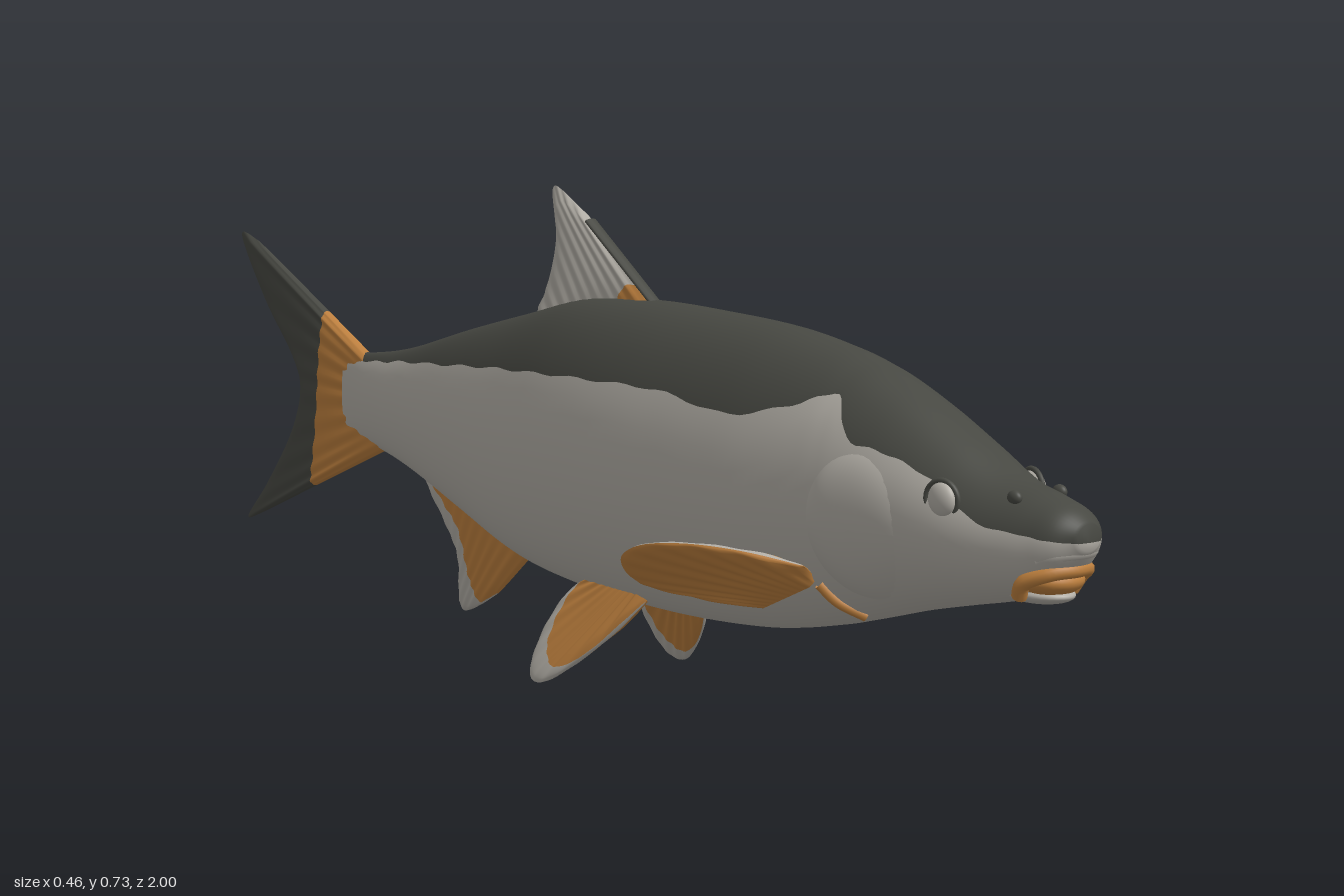
import * as THREE from 'three';

const mat = (name, color) => new THREE.MeshStandardMaterial({ name, color, side: THREE.DoubleSide });
const { clamp, lerp } = THREE.MathUtils;

// Body stations from nose to tail: z, top y, bottom y, half width, y of the dark back's lower edge
const STATIONS = [
  [0.998, 0.355, 0.318, 0.022, 0.33], [0.97, 0.374, 0.285, 0.05, 0.333],
  [0.93, 0.387, 0.25, 0.065, 0.338], [0.86, 0.405, 0.232, 0.082, 0.348],
  [0.78, 0.445, 0.215, 0.098, 0.395], [0.70, 0.485, 0.197, 0.108, 0.422],
  [0.63, 0.515, 0.178, 0.115, 0.436], [0.585, 0.53, 0.166, 0.119, 0.49],
  [0.52, 0.546, 0.15, 0.124, 0.472], [0.40, 0.564, 0.128, 0.134, 0.448],
  [0.25, 0.572, 0.118, 0.139, 0.465], [0.10, 0.575, 0.118, 0.137, 0.465],
  [-0.05, 0.566, 0.127, 0.124, 0.46], [-0.20, 0.53, 0.15, 0.102, 0.452],
  [-0.35, 0.492, 0.2, 0.076, 0.44], [-0.50, 0.45, 0.25, 0.045, 0.428],
  [-0.60, 0.432, 0.275, 0.028, 0.418], [-0.69, 0.425, 0.29, 0.014, 0.415],
];
const heights = new THREE.CatmullRomCurve3(
  STATIONS.map(([z, a, b]) => new THREE.Vector3(z, a, b)), false, 'catmullrom');
const widths = new THREE.CatmullRomCurve3(
  STATIONS.map(([z, , , w, e]) => new THREE.Vector3(z, w, e)), false, 'catmullrom');

function section(t) {
  const p = heights.getPoint(t), q = widths.getPoint(t);
  return { z: p.x, c: (p.y + p.z) / 2, h: (p.y - p.z) / 2, w: q.y, edge: q.z };
}

// Half width of the body's skin at a given z and y
function skinX(z, y) {
  let lo = 0, hi = 1;
  for (let i = 0; i < 24; i++) {
    const mid = (lo + hi) / 2;
    if (heights.getPoint(mid).x > z) lo = mid; else hi = mid;
  }
  const s = section(lo);
  return s.w * Math.sqrt(Math.max(0, 1 - ((y - s.c) / s.h) ** 2));
}

function geometryFrom(pos, index) {
  const g = new THREE.BufferGeometry();
  g.setAttribute('position', new THREE.Float32BufferAttribute(pos, 3));
  g.setIndex(index);
  g.computeVertexNormals();
  return g;
}

// Lofted body; every ring is split at the dark back's edge so the colours meet cleanly
function bodyGeometry() {
  const rings = 110, top = 20, all = 52, pos = [], index = [];
  for (let i = 0; i <= rings; i++) {
    const { z, c, h, w, edge } = section(i / rings);
    const wave = edge + 0.002 * Math.sin(i * 1.3) * Math.min(1, i / 40);
    const a = Math.acos(clamp((wave - c) / h, -0.95, 0.97));
    for (let j = 0; j < all; j++) {
      const t = j <= top ? -a + 2 * a * j / top
        : a + (2 * Math.PI - 2 * a) * (j - top) / (all - top);
      pos.push(w * Math.sin(t), c + h * Math.cos(t), z);
    }
  }
  const nose = pos.length / 3, last = rings * all;
  const s0 = section(0), s1 = section(1);
  pos.push(0, s0.edge, 1, 0, s1.c, s1.z - 0.003);
  const strip = (from, to) => {
    for (let j = from; j < to; j++) {
      const k = (j + 1) % all;
      index.push(nose, k, j, nose + 1, last + j, last + k);
      for (let i = 0; i < rings; i++) {
        const a = i * all + j, b = i * all + k;
        index.push(a, b, a + all, b, b + all, a + all);
      }
    }
  };
  strip(0, top);
  const darkCount = index.length;
  strip(top, all);
  const g = geometryFrom(pos, index);
  g.addGroup(0, darkCount, 0);
  g.addGroup(darkCount, index.length - darkCount, 1);
  return g;
}

// Thin fin ruled from a straight root to a curved outer edge, points as [z, y].
// Each band is [end, material, material of the second face], the end being a
// fraction of the span or a function of (root, tip).
function fin(name, root, tip, thick, bands) {
  const nu = 60, rows = 8, pos = [], index = [], groups = [];
  const r0 = new THREE.Vector2(...root[0]), r1 = new THREE.Vector2(...root[1]);
  const edge = new THREE.SplineCurve(tip.map(p => new THREE.Vector2(...p)));
  const nv = rows * bands.length, sheet = (nu + 1) * (nv + 1);
  for (const side of [1, -1]) for (let j = 0; j <= nv; j++) for (let i = 0; i <= nu; i++) {
    const u = i / nu, r = r0.clone().lerp(r1, u), e = edge.getPoint(u);
    const ends = [0, ...bands.map(([v]) => typeof v === 'function' ? v(r, e) : v)];
    const k = Math.min(Math.floor(j / rows), bands.length - 1);
    const v = lerp(ends[k], ends[k + 1], j / rows - k);
    const p = r.lerp(e, v);
    const ray = 1 + 0.15 * Math.cos(u * Math.PI * 20) * Math.min(1, v * 3);
    const rim = Math.min(1, 4 * Math.sin(Math.PI * u)) * (1 - v ** 10);
    pos.push(side * thick * (1 - 0.4 * v) * Math.sqrt(Math.max(0, rim)) * ray, p.y, p.x);
  }
  for (let s = 0; s < 2; s++) for (let k = 0; k < bands.length; k++) {
    const start = index.length;
    for (let j = k * rows; j < (k + 1) * rows; j++) for (let i = 0; i < nu; i++) {
      const a = s * sheet + j * (nu + 1) + i, b = a + 1, c = a + nu + 1, d = c + 1;
      if (s === 0) index.push(a, b, c, b, d, c); else index.push(a, c, b, b, c, d);
    }
    groups.push([start, index.length - start, s * bands.length + k]);
  }
  const g = geometryFrom(pos, index);
  groups.forEach(args => g.addGroup(...args));
  const mesh = new THREE.Mesh(g, [...bands.map(b => b[1]), ...bands.map(b => b[2] ?? b[1])]);
  mesh.name = name;
  return mesh;
}

// Raised oval plate that follows the body's side
function gillCover(side) {
  const nr = 12, na = 48, pos = [], index = [];
  for (let i = 0; i <= nr; i++) for (let j = 0; j <= na; j++) {
    const r = i / nr, a = j / na * Math.PI * 2;
    const z = 0.655 + 0.09 * r * Math.cos(a), y = 0.315 + 0.11 * r * Math.sin(a);
    const lift = -0.004 + 0.014 * (1 - r ** 6) * (1 - 0.55 * r * Math.cos(a)) / 1.3;
    pos.push(side * (skinX(z, y) + lift), y, z);
  }
  for (let i = 0; i < nr; i++) for (let j = 0; j < na; j++) {
    const a = i * (na + 1) + j, b = a + 1, c = a + na + 1, d = c + 1;
    if (side > 0) index.push(a, b, c, b, d, c); else index.push(a, c, b, b, c, d);
  }
  return geometryFrom(pos, index);
}

export function createModel() {
  const fish = new THREE.Group();
  fish.name = 'fish';
  const dark = mat('darkOlive', 0x474842), pale = mat('paleSilver', 0xb2aea6);
  const orange = mat('finOrange', 0xbe803e);
  const add = (name, geometry, material, x = 0, y = 0, z = 0) => {
    const m = new THREE.Mesh(geometry, material);
    m.name = name;
    m.position.set(x, y, z);
    fish.add(m);
    return m;
  };
  const ball = (rx, ry, rz) => new THREE.SphereGeometry(1, 28, 18).scale(rx, ry, rz);
  const tube = (pts, r) => new THREE.TubeGeometry(
    new THREE.CatmullRomCurve3(pts.map(p => new THREE.Vector3(...p))), 32, r, 10);

  add('body', bodyGeometry(), [dark, pale]);

  // Mouth
  add('mouth', ball(0.047, 0.022, 0.044), orange, 0, 0.272, 0.928);
  add('lowerJaw', ball(0.04, 0.014, 0.058), pale, 0, 0.251, 0.905);
  add('upperLip', tube([[-0.045, 0.306, 0.945], [-0.03, 0.314, 0.968], [0, 0.317, 0.982],
    [0.03, 0.314, 0.968], [0.045, 0.306, 0.945]], 0.013), pale);
  add('mouthRim', tube([[-0.049, 0.252, 0.918], [-0.054, 0.272, 0.93], [-0.034, 0.287, 0.96], [0, 0.29, 0.972],
    [0.034, 0.287, 0.96], [0.054, 0.272, 0.93], [0.049, 0.252, 0.918]], 0.011), orange);

  // Paired parts
  for (const s of [1, -1]) {
    const side = s > 0 ? 'left' : 'right';
    const ex = skinX(0.805, 0.372);
    add(side + 'Eye', ball(0.013, 0.024, 0.024), pale, s * ex, 0.372, 0.805);
    const rim = add(side + 'EyeRim', new THREE.TorusGeometry(0.026, 0.004, 10, 32), dark, s * ex, 0.372, 0.805);
    rim.rotation.y = s * (Math.PI / 2 - 0.2);
    add(side + 'Nostril', ball(0.008, 0.01, 0.012), dark, s * 0.042, 0.382, 0.9);
    add(side + 'GillCover', gillCover(s), pale);

    // Orange lining at the lower end of the gill slit
    const slit = [[0.225, 0.567], [0.2, 0.582], [0.178, 0.602]];
    add(side + 'GillLining', tube(slit.map(([y, z]) => [s * skinX(z, y), y, z]), 0.008), orange);

    // Pectoral fin: pale rear tip on the upper face, all orange beneath
    const upper = s > 0 ? pale : orange, lower = s > 0 ? orange : pale;
    const pectoral = fin(side + 'PectoralFin', [[-0.13, 0.06], [0, 0.02]],
      [[-0.17, 0.055], [-0.235, 0.012], [-0.285, -0.018], [-0.297, -0.05], [-0.275, -0.09], [-0.22, -0.108],
        [-0.146, -0.095], [-0.07, -0.06], [0, -0.01]], 0.012,
      [[(r, e) => clamp((-0.23 - r.x) / Math.min(e.x - r.x, -0.01), 0.3, 0.92), orange], [1, upper, lower]]);
    pectoral.position.set(s * 0.105, 0.245, 0.56);
    pectoral.rotation.set(0, s * 0.29, s * 2.27, 'ZYX');

    // Pelvic fin: pale rear rim
    const pelvic = fin(side + 'PelvicFin', [[0.05, 0.02], [0.16, 0.02]],
      [[0.02, 0.01], [-0.025, -0.02], [-0.045, -0.08], [-0.042, -0.14], [-0.02, -0.166],
        [0.02, -0.155], [0.09, -0.09], [0.15, -0.01]], 0.013,
      [[(r, e) => clamp(0.86 + e.x * 2, 0.8, 0.98), orange], [1, pale]]);
    pelvic.position.set(s * 0.055, 0.145, 0);
    pelvic.rotation.z = s * 0.53;
    fish.add(pectoral, pelvic);
  }

  // Fins on the centre line
  fish.add(fin('dorsalFin', [[0.12, 0.555], [-0.17, 0.51]],
    [[-0.06, 0.685], [-0.12, 0.722], [-0.148, 0.723], [-0.14, 0.65], [-0.16, 0.58], [-0.188, 0.53]],
    0.014, [[r => clamp(r.x * 3, 0.02, 0.3), orange], [1, pale]]));
  add('dorsalSpine', tube([[0, 0.566, 0.104], [0, 0.627, 0.02], [0, 0.682, -0.056]], 0.0045).scale(2.4, 1, 1), dark);
  fish.add(fin('analFin', [[-0.45, 0.27], [-0.18, 0.17]],
    [[-0.48, 0.24], [-0.42, 0.17], [-0.39, 0.12], [-0.388, 0.05], [-0.36, 0.045], [-0.29, 0.08]],
    0.014, [[(r, e) => clamp(0.6 + (e.x + 0.4) * 5.5, 0.6, 0.98), orange], [1, pale]]));
  fish.add(fin('tailFin', [[-0.63, 0.425], [-0.575, 0.278]],
    [[-0.95, 0.588], [-0.998, 0.593], [-0.93, 0.49], [-0.85, 0.40], [-0.83, 0.345], [-0.86, 0.27],
      [-0.93, 0.18], [-0.99, 0.115], [-0.94, 0.13]],
    0.013, [[(r, e) => (-0.797 + 0.08 * e.y - r.x) / (e.x - r.x), orange], [1, dark]]));

  return fish;
}
